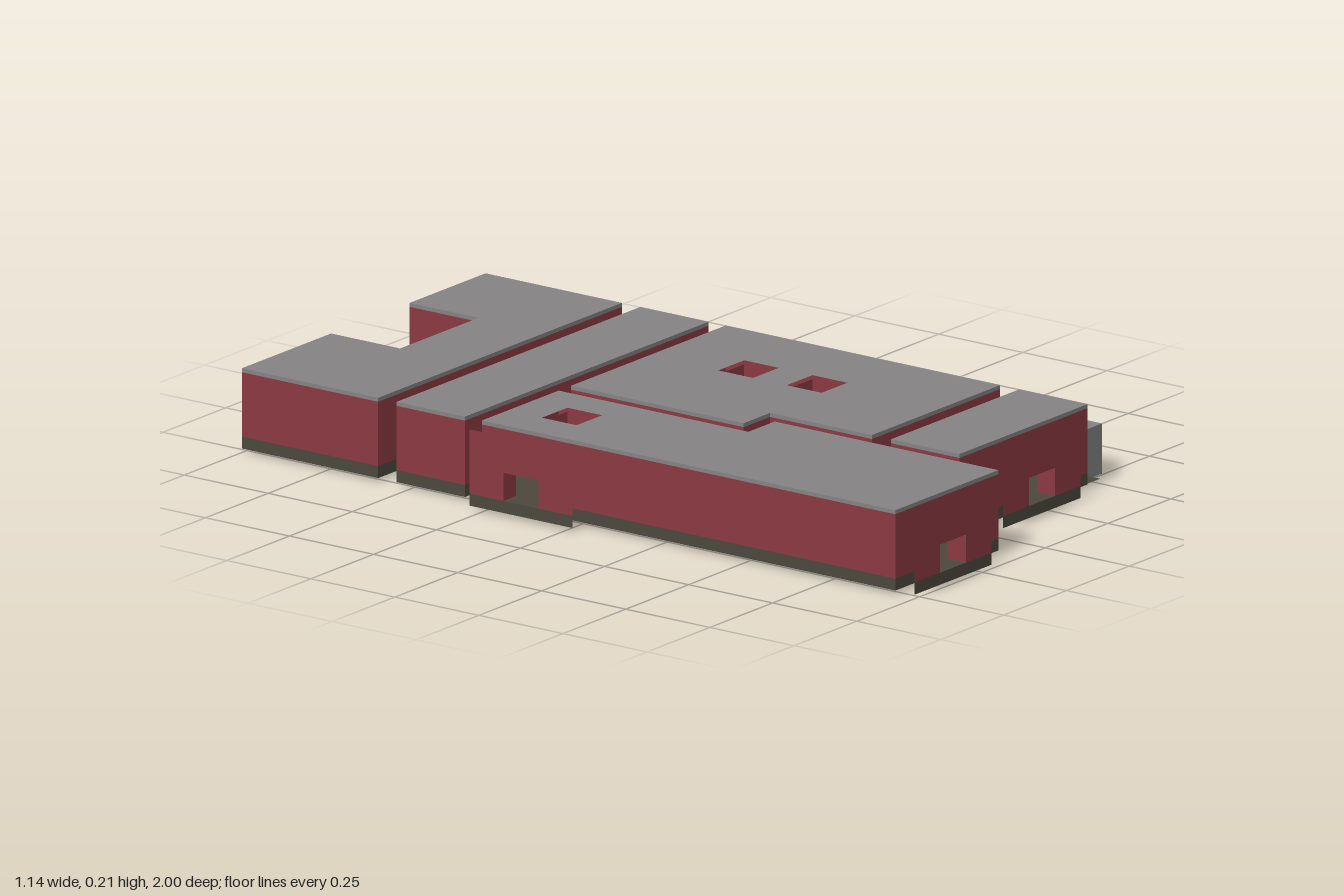
import * as THREE from 'three';

const wallRed = new THREE.MeshStandardMaterial({ name: 'wallRed', color: 0x8b3a42, side: THREE.DoubleSide });
const baseOlive = new THREE.MeshStandardMaterial({ name: 'baseOlive', color: 0x4c483d, side: THREE.DoubleSide });
const roofGrey = new THREE.MeshStandardMaterial({ name: 'roofGrey', color: 0x858383 });

// Heights shared by all modules
const Y0 = 0.01, FLOOR = 0.04, DOOR = 0.11, ROOF = 0.2, TOP = 0.21, HALF = 0.052;

const rect = (x0, z0, x1, z1) => [[x0, z0], [x1, z0], [x1, z1], [x0, z1]];

// Plan of each module: outline and light wells as [x, z] corners
const modules = [
  { name: 'rearBlock', outline: [[-0.52, -1], [-0.165, -1], [-0.165, -0.795], [0.148, -0.795], [0.148, -1], [0.45, -1], [0.45, -0.595], [-0.52, -0.595]] },
  { name: 'crossBlock', outline: rect(-0.52, -0.54, 0.45, -0.337) },
  {
    name: 'mainBlock',
    outline: [[-0.165, -0.286], [0.45, -0.286], [0.45, 0.53], [-0.06, 0.53], [-0.06, 0.227], [-0.165, 0.227]],
    wells: [rect(0.145, -0.08, 0.248, 0.023), rect(0.145, 0.123, 0.248, 0.227)],
  },
  {
    name: 'longBlock',
    outline: [[-0.52, -0.286], [-0.215, -0.286], [-0.215, 0.278], [-0.11, 0.278], [-0.11, 0.943], [-0.52, 0.943]],
    wells: [rect(-0.417, -0.185, -0.315, -0.082)],
  },
  { name: 'frontBlock', outline: rect(-0.06, 0.587, 0.45, 0.79) },
];

// Passages, given by the two ends of their centre line: x0, z0, x1, z1
const passages = [
  [-0.366, -0.595, -0.366, -0.54], [0.197, -0.595, 0.197, -0.54],
  [-0.366, -0.337, -0.366, -0.286], [0.197, -0.337, 0.197, -0.286],
  [-0.215, -0.133, -0.165, -0.133], [-0.57, -0.133, -0.52, -0.133],
  [0.197, 0.53, 0.197, 0.587], [-0.11, 0.69, -0.06, 0.69],
  [0.197, 0.79, 0.197, 0.843], [-0.366, 0.943, -0.366, 1],
];
const doorPoints = passages.flatMap(([a, b, c, d]) => [[a, b], [c, d]]);

function add(group, name, geometry, material) {
  const mesh = new THREE.Mesh(geometry, material);
  mesh.name = name;
  group.add(mesh);
  return mesh;
}

// Horizontal slab following a plan outline
function slab(group, name, outline, wells, y, height, material) {
  const points = (list) => list.map(([x, z]) => new THREE.Vector2(x, -z));
  const shape = new THREE.Shape(points(outline));
  for (const well of wells) shape.holes.push(new THREE.Path(points(well)));
  const geometry = new THREE.ExtrudeGeometry(shape, { depth: height, bevelEnabled: false });
  geometry.rotateX(-Math.PI / 2).translate(0, y, 0);
  return add(group, name, geometry, material);
}

// Upright sheet between two plan points, cut by any doorway on its line
function wall(group, name, p, q, y0, y1, material, cutDoors = true) {
  const dx = q[0] - p[0], dz = q[1] - p[1], length = Math.hypot(dx, dz);
  const doors = !cutDoors ? [] : doorPoints.map(([x, z]) => ({
    s: ((x - p[0]) * dx + (z - p[1]) * dz) / length,
    off: Math.abs((x - p[0]) * dz - (z - p[1]) * dx) / length,
  })).filter((d) => d.off < 0.004 && d.s > HALF && d.s < length - HALF).sort((a, b) => a.s - b.s);
  const shape = new THREE.Shape();
  shape.moveTo(0, y0);
  for (const { s } of doors) {
    shape.lineTo(s - HALF, y0);
    shape.lineTo(s - HALF, DOOR);
    shape.lineTo(s + HALF, DOOR);
    shape.lineTo(s + HALF, y0);
  }
  shape.lineTo(length, y0);
  shape.lineTo(length, y1);
  shape.lineTo(0, y1);
  const geometry = new THREE.ShapeGeometry(shape);
  geometry.rotateY(Math.atan2(-dz, dx)).translate(p[0], 0, p[1]);
  return add(group, name, geometry, material);
}

function buildModule({ name, outline, wells = [] }) {
  const group = new THREE.Group();
  group.name = name;
  slab(group, 'floorSlab', outline, wells, Y0, FLOOR - Y0, baseOlive);
  slab(group, 'roofSlab', outline, wells, ROOF, TOP - ROOF, roofGrey);
  for (const loop of [outline, ...wells]) {
    loop.forEach((p, i) => wall(group, 'wall', p, loop[(i + 1) % loop.length], FLOOR, ROOF, wallRed));
  }
  return group;
}

// Low tunnel: floor strip, two side walls and a flat cover
function buildPassage([x0, z0, x1, z1]) {
  const group = new THREE.Group();
  group.name = 'passage';
  const alongX = z0 === z1;
  const hx = alongX ? 0 : HALF, hz = alongX ? HALF : 0;
  const plan = rect(x0 - hx, z0 - hz, x1 + hx, z1 + hz);
  slab(group, 'passageFloor', plan, [], Y0, FLOOR - Y0, baseOlive);
  for (const side of [-1, 1]) {
    wall(group, 'passageSide', [x0 + side * hx, z0 + side * hz], [x1 + side * hx, z1 + side * hz], FLOOR, DOOR, wallRed, false);
  }
  const cover = new THREE.PlaneGeometry(x1 - x0 + 2 * hx, z1 - z0 + 2 * hz);
  cover.rotateX(-Math.PI / 2).translate((x0 + x1) / 2, DOOR, (z0 + z1) / 2);
  add(group, 'passageCover', cover, wallRed);
  return group;
}

// Free-standing entrance screen with a doorway
function buildScreen(p, q) {
  const group = new THREE.Group();
  group.name = 'entranceScreen';
  wall(group, 'screenWall', p, q, FLOOR, ROOF, wallRed);
  wall(group, 'screenBase', p, q, Y0, FLOOR, baseOlive, false);
  return group;
}

export function createModel() {
  const model = new THREE.Group();
  model.name = 'modularBuilding';
  for (const m of modules) model.add(buildModule(m));
  for (const p of passages) model.add(buildPassage(p));

  model.add(buildScreen([-0.52, 1], [-0.213, 1]));
  model.add(buildScreen([0.043, 0.843], [0.351, 0.843]));
  model.add(buildScreen([-0.57, -0.286], [-0.57, 0.021]));

  // Side hatch: thin ledge, dark frame and grey box
  const ledge = new THREE.PlaneGeometry(0.05, 0.203);
  ledge.rotateX(-Math.PI / 2).translate(0.475, Y0 + 0.002, 0.6885);
  add(model, 'sideLedge', ledge, baseOlive);
  add(model, 'hatchFrame', new THREE.BoxGeometry(0.01, 0.13, 0.126), baseOlive).position.set(0.455, 0.067, 0.69);
  add(model, 'hatchBox', new THREE.BoxGeometry(0.108, 0.125, 0.11), roofGrey).position.set(0.514, 0.0625, 0.69);
  return model;
}
